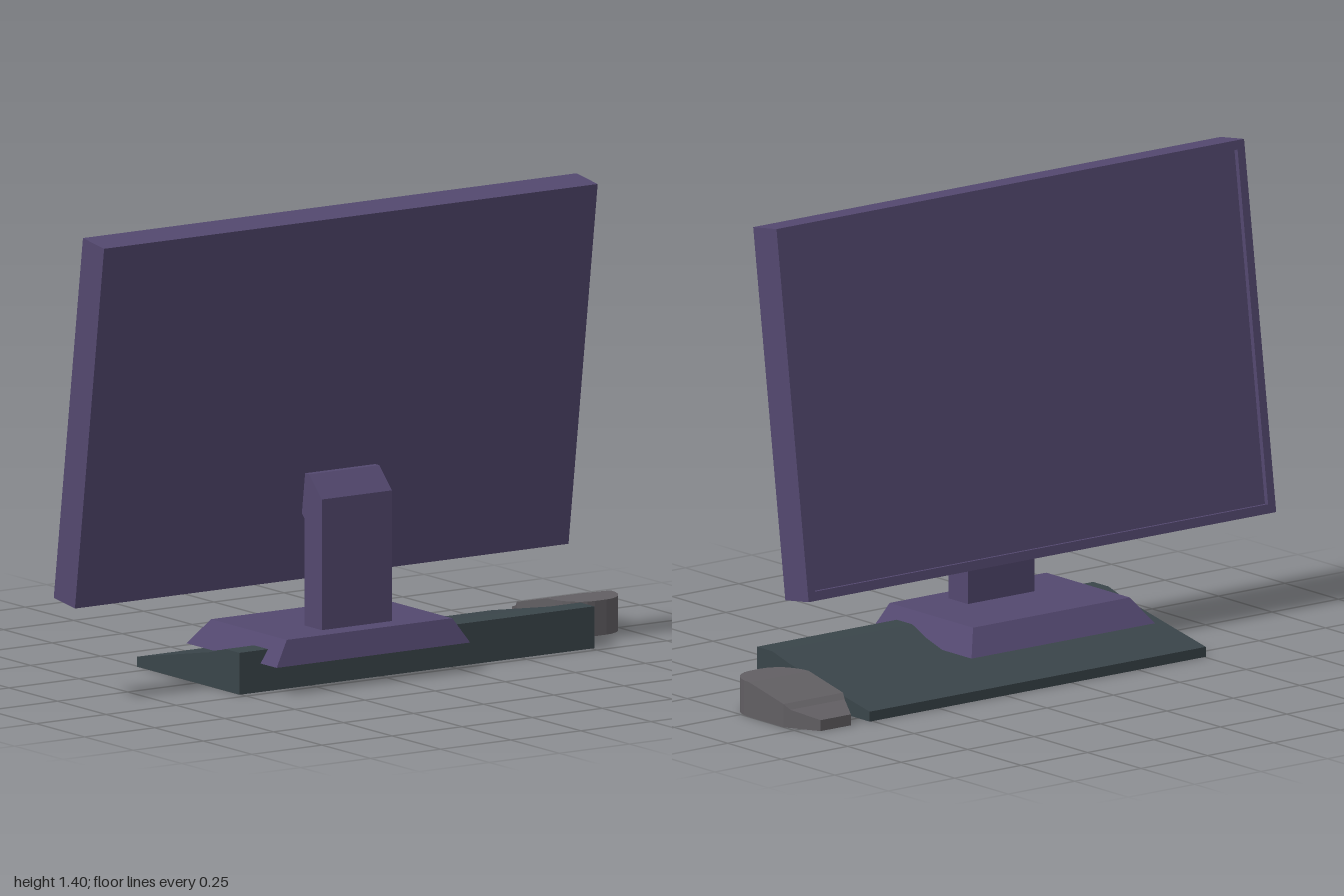
import * as THREE from 'three';

const flat = (name, color) => {
  const m = new THREE.MeshStandardMaterial({ color, flatShading: true });
  m.name = name;
  return m;
};

function addMesh(parent, name, geometry, material) {
  const mesh = new THREE.Mesh(geometry, material);
  mesh.name = name;
  parent.add(mesh);
  return mesh;
}

// Extrudes a [z, y] side profile across x0..x1
function sideExtrude(profile, x0, x1) {
  const shape = new THREE.Shape(profile.map(([z, y]) => new THREE.Vector2(-z, y)));
  const geo = new THREE.ExtrudeGeometry(shape, { depth: x1 - x0, bevelEnabled: false });
  return geo.rotateY(Math.PI / 2).translate(x0, 0, 0);
}

// Box whose top rectangle differs from its bottom one; rectangles are [x0, x1, z0, z1]
function taperedBlock(bottom, top, y0, y1) {
  const geo = new THREE.BoxGeometry(1, 1, 1);
  const p = geo.attributes.position;
  for (let i = 0; i < p.count; i++) {
    const r = p.getY(i) > 0 ? top : bottom;
    p.setXYZ(i, p.getX(i) > 0 ? r[1] : r[0], p.getY(i) > 0 ? y1 : y0, p.getZ(i) > 0 ? r[3] : r[2]);
  }
  geo.computeVertexNormals();
  return geo;
}

// Lofts rectangular cross-sections [z, half width, height], listed from +z to -z
function loftAlongZ(rows, cx) {
  const pos = [];
  const index = [];
  for (const [z, w, h] of rows) pos.push(cx - w, 0, z, cx + w, 0, z, cx + w, h, z, cx - w, h, z);
  for (let r = 0; r < rows.length - 1; r++) {
    for (let k = 0; k < 4; k++) {
      const a = r * 4 + k, b = r * 4 + (k + 1) % 4;
      index.push(a, a + 4, b, b, a + 4, b + 4);
    }
  }
  const e = (rows.length - 1) * 4;
  index.push(0, 1, 2, 0, 2, 3, e, e + 2, e + 1, e, e + 3, e + 2);
  const geo = new THREE.BufferGeometry();
  geo.setAttribute('position', new THREE.Float32BufferAttribute(pos, 3));
  geo.setIndex(index);
  geo.computeVertexNormals();
  return geo;
}

const rectangle = (Type, w, h) => new Type([
  new THREE.Vector2(-w / 2, -h / 2), new THREE.Vector2(w / 2, -h / 2),
  new THREE.Vector2(w / 2, h / 2), new THREE.Vector2(-w / 2, h / 2),
]);

export function createModel() {
  const model = new THREE.Group();
  model.name = 'desktopComputer';
  const purple = flat('purple plastic', 0x53486f);
  const slate = flat('slate plastic', 0x3a454a);
  const grey = flat('grey plastic', 0x625f63);

  // Tilted monitor, its screen facing -z
  const monitor = new THREE.Group();
  monitor.name = 'monitor';
  monitor.position.set(-0.12, 0.847, 0.11);
  monitor.rotation.x = 0.136;
  model.add(monitor);
  const W = 1.76, H = 1.108, D = 0.11, recess = 0.015;
  addMesh(monitor, 'monitorBody', new THREE.BoxGeometry(W, H, D - recess), purple)
    .position.z = recess / 2;
  const frame = rectangle(THREE.Shape, W, H);
  frame.holes.push(rectangle(THREE.Path, W - 0.055, H - 0.055));
  addMesh(monitor, 'screenBezel',
    new THREE.ExtrudeGeometry(frame, { depth: recess, bevelEnabled: false }), purple)
    .position.z = -D / 2;

  // Stand: neck with chamfered top that meets the monitor back, and flared base
  const stand = new THREE.Group();
  stand.name = 'stand';
  model.add(stand);
  addMesh(stand, 'standNeck', sideExtrude(
    [[0.22, 0.15], [0.13, 0.15], [0.13, 0.48], [0.11, 0.5], [0.125, 0.615], [0.155, 0.615], [0.22, 0.55]],
    -0.21, 0.04), purple);
  addMesh(stand, 'standBase', taperedBlock(
    [-0.43, 0.26, -0.16, 0.305], [-0.38, 0.21, -0.105, 0.285], 0.085, 0.16), purple);

  // Wedge keyboard
  addMesh(model, 'keyboard', sideExtrude(
    [[0.222, 0], [0.222, 0.125], [0.15, 0.125], [0.07, 0.103], [-0.305, 0.03], [-0.305, 0]],
    -0.505, 0.76), slate);

  // Mouse: rounded at +z, narrowing and dropping towards -z
  const rows = [];
  for (let i = 0; i <= 6; i++) {
    const a = (i / 6) * Math.PI / 2;
    rows.push([-0.04 + 0.11 * Math.cos(a), 0.02 + 0.092 * Math.sin(a), 0.105]);
  }
  rows.push([-0.2, 0.112, 0.07], [-0.22, 0.102, 0.055], [-0.305, 0.057, 0.033]);
  addMesh(model, 'mouse', loftAlongZ(rows, 0.888), grey);

  return model;
}
